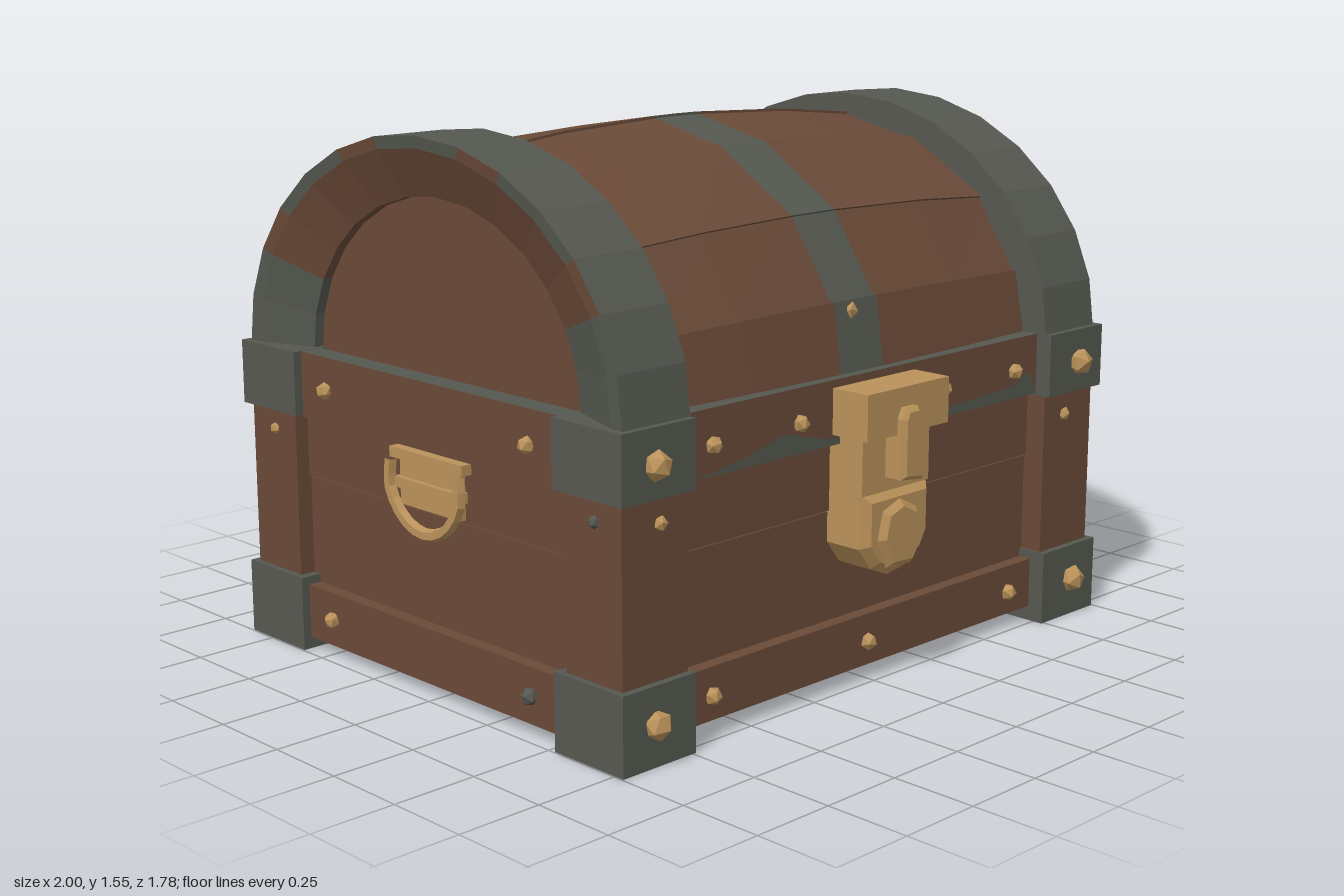
import * as THREE from 'three';

const mat = (name, color) => {
  const m = new THREE.MeshStandardMaterial({ color, flatShading: true });
  m.name = name;
  return m;
};

export function createModel() {
  const wood = mat('wood', 0x6a4a38);
  const iron = mat('iron', 0x555850);
  const brass = mat('brass', 0xba925a);
  const chest = new THREE.Group();
  chest.name = 'treasureChest';
  const CZ = -0.035; // depth centre of the box

  const add = (name, geo, material, parent = chest) => {
    const m = new THREE.Mesh(geo, material);
    m.name = name;
    parent.add(m);
    return m;
  };
  // box given by its limits
  const box = (name, x0, x1, y0, y1, z0, z1, material, parent = chest) => {
    const m = add(name, new THREE.BoxGeometry(x1 - x0, y1 - y0, z1 - z0), material, parent);
    m.position.set((x0 + x1) / 2, (y0 + y1) / 2, (z0 + z1) / 2);
    return m;
  };
  // surface through rows of points; pick(i, j) chooses the material of each quad
  const loft = (name, rows, pick, parent) => {
    const lists = new Map();
    for (let i = 0; i < rows.length - 1; i++) {
      for (let j = 0; j < rows[i].length - 1; j++) {
        const [a, b, c, d] = [rows[i][j], rows[i][j + 1], rows[i + 1][j + 1], rows[i + 1][j]];
        const m = pick(i, j);
        if (!lists.has(m)) lists.set(m, []);
        lists.get(m).push(...a, ...b, ...c, ...a, ...c, ...d);
      }
    }
    for (const [m, list] of lists) {
      const g = new THREE.BufferGeometry();
      g.setAttribute('position', new THREE.Float32BufferAttribute(list, 3));
      g.computeVertexNormals();
      add(name + '_' + m.name, g, m, parent);
    }
  };
  const shapeOf = (pts) => new THREE.Shape(pts.map(([x, y]) => new THREE.Vector2(x, y)));

  // box body, floor planks and wall planks
  box('core', -0.9, 0.9, 0.09, 0.89, -0.74, 0.67, wood);
  for (let i = 0; i < 4; i++) {
    const z = -0.74 + i * 0.3525;
    box('floorPlank', -0.92, 0.92, 0.07 + (i % 2) * 0.008, 0.12, z, z + 0.348, wood);
  }
  [[0.2, 0.515, 0], [0.52, 0.72, 0.006]].forEach(([y0, y1, o]) => {
    box('wallPlankLong', -0.8, 0.8, y0, y1, -0.755 - o, 0.69 + o, wood);
    box('wallPlankSide', -0.93 - o, 0.93 + o, y0, y1, -0.65, 0.6, wood);
  });

  // rails; the upper ones have iron on their top and underside
  const ironEdged = [wood, wood, iron, iron, wood, wood];
  [[0.05, 0.2, wood], [0.715, 0.897, ironEdged]].forEach(([y0, y1, m]) => {
    box('frontRail', -0.9, 0.9, y0, y1, 0.66, 0.73, m);
    box('backRail', -0.9, 0.9, y0, y1, -0.8, -0.73, m);
    for (const s of [-1, 1]) {
      const r = box('sideRail', -0.035, 0.035, y0 - 0.01, y1, -0.78, 0.71, m);
      r.position.x = s * 0.935;
    }
  });
  // worn iron strip on the front and back rails
  const strip = new THREE.ShapeGeometry(shapeOf([[-0.7, 0.716], [0.74, 0.716], [0.7, 0.79],
    [0.62, 0.755], [0.2, 0.735], [-0.18, 0.735], [-0.36, 0.78], [-0.5, 0.745]]));
  add('ironStrip', strip, iron).position.z = 0.732;
  const backPatch = add('ironPatch', new THREE.ShapeGeometry(shapeOf([[-0.1, 0.716], [0.1, 0.716],
    [0.06, 0.85], [-0.05, 0.89]])), iron);
  backPatch.position.z = -0.802;
  backPatch.rotation.y = Math.PI;

  // posts and iron corners
  for (const sx of [-1, 1]) {
    for (const sz of [-1, 1]) {
      const post = box('cornerPost', -0.115, 0.115, 0.2, 0.73, -0.105, 0.105, wood);
      post.position.x = sx * 0.863;
      post.position.z = CZ + sz * 0.69;
      [[0.005, 0.225], [0.71, 0.898]].forEach(([y0, y1]) => {
        const c = box('ironCorner', -0.128, 0.128, y0, y1, -0.13, 0.13, iron);
        c.position.x = sx * 0.868;
        c.position.z = CZ + sz * 0.686;
      });
    }
  }

  // barrel lid of eight planks, each with a slight step to the next
  const lid = new THREE.Group();
  lid.name = 'lid';
  lid.position.z = CZ;
  chest.add(lid);
  const profile = [[0.735, 0.88], [0.695, 1.09], [0.555, 1.315], [0.275, 1.485], [0, 1.545],
    [-0.3, 1.495], [-0.575, 1.32], [-0.7, 1.09], [-0.735, 0.88]];
  const lidRows = [];
  for (let k = 0; k < profile.length - 1; k++) {
    for (const e of [0, 1]) {
      const [z, y] = profile[k + e];
      const lift = 1 + (((k + e) % 2) ? 0.008 : -0.006) * (e ? 1 : -1);
      const w = 0.012 * Math.sin(k * 2.3 + e);
      const xs = [-0.76, -0.45, -0.105 + w, -0.01, 0.07 + w, 0.45, 0.76];
      lidRows.push(xs.map((x) => {
        const f = lift * (1 - 0.075 * (x / 0.76) ** 2);
        return [x, 0.88 + (y - 0.88) * f, z * (1 - 0.035 * (x / 0.76) ** 2) * lift];
      }));
    }
  }
  loft('lidPlanks', lidRows, (i, j) => (j === 2 || j === 3 ? iron : wood), lid);

  // end panels of the lid
  const halfOval = new THREE.Shape();
  halfOval.absellipse(0, 0, 0.6, 0.52, 0, Math.PI, false);
  const ends = add('lidEndPanels', new THREE.ExtrudeGeometry(halfOval,
    { depth: 1.76, bevelEnabled: false, curveSegments: 16 }), wood, lid);
  ends.rotation.y = Math.PI / 2;
  ends.position.set(-0.88, 0.885, 0);

  // iron end bands, worn to wood on the outer side
  const section = [[0.74, 0.6, 0.52], [0.74, 0.798, 0.675], [0.975, 0.798, 0.675],
    [0.97, 0.755, 0.64], [0.91, 0.575, 0.505], [0.86, 0.575, 0.505]];
  for (const s of [0, Math.PI]) {
    const band = new THREE.Group();
    band.name = 'lidBand';
    band.rotation.y = s;
    lid.add(band);
    const rows = [];
    const n = 14;
    for (let i = 0; i <= n; i++) {
      const t = (Math.PI * i) / n;
      rows.push(section.map(([x, a, b]) => [x, 0.885 + b * Math.sin(t), a * Math.cos(t)]));
    }
    loft('lidBand', rows, (i, j) => {
      if (j < 2 || i < 2 || i > n - 3) return iron;
      return j === 2 && i % 3 !== 2 ? iron : wood;
    }, band);
  }

  // studs
  const stud = (x, y, z, r, m = brass) => {
    const s = add('stud', new THREE.IcosahedronGeometry(r, 0), m);
    s.position.set(x, y, z);
    s.rotation.set(x * 5, y * 7, z * 3);
  };
  for (const sx of [-1, 1]) {
    for (const y of [0.12, 0.8]) {
      stud(sx * 0.88, y, 0.785, 0.042);
      stud(sx * 0.88, y, -0.855, 0.042);
      stud(sx * 0.63, y, 0.735, 0.026);
      stud(sx * 0.63, y, -0.805, 0.026);
      stud(sx * 0.975, y, 0.4, 0.026, y < 0.5 ? iron : brass);
      stud(sx * 0.975, y, -0.475, 0.026);
    }
    stud(sx * 0.3, 0.8, 0.735, 0.026);
    stud(sx * 0.3, 0.8, -0.805, 0.026);
    stud(sx * 0.845, 0.64, 0.758, 0.022);
    stud(sx * 0.845, 0.64, -0.828, 0.022);
    stud(sx * 0.975, 0.65, 0.66, 0.02, iron);
    stud(sx * 0.975, 0.65, -0.72, 0.02);
  }
  stud(-0.01, 0.12, 0.735, 0.026);
  stud(0, 0.12, -0.805, 0.026);
  stud(0, 0.8, -0.805, 0.026, iron);
  stud(-0.03, 1.06, 0.655, 0.03);

  // lock: top plate, tongue, hasp and round boss
  const lock = new THREE.Group();
  lock.name = 'lock';
  chest.add(lock);
  box('lockTopPlate', -0.168, 0.172, 0.745, 0.875, 0.68, 0.855, brass, lock);
  box('lockTongue', -0.14, 0.14, 0.58, 0.75, 0.68, 0.815, brass, lock);
  const plate = (name, pts, z, depth, bevel) => {
    const g = new THREE.ExtrudeGeometry(shapeOf(pts), { depth, bevelEnabled: true,
      bevelThickness: bevel, bevelSize: bevel, bevelOffset: -bevel, bevelSegments: 1 });
    add(name, g, brass, lock).position.z = z;
  };
  plate('lockLowerPlate', [[-0.14, 0.585], [-0.14, 0.43], [-0.09, 0.365], [-0.02, 0.335],
    [0.05, 0.345], [0.11, 0.385], [0.14, 0.44], [0.14, 0.585]], 0.68, 0.125, 0.025);
  plate('lockBoss', [[-0.09, 0.45], [-0.05, 0.365], [0.05, 0.36], [0.09, 0.42],
    [0.07, 0.52], [0, 0.555], [-0.07, 0.53]], 0.8, 0.03, 0.018);
  plate('lockHasp', [[-0.045, 0.62], [0.045, 0.61], [0.045, 0.79], [0.02, 0.82],
    [-0.03, 0.82], [-0.045, 0.79]], 0.79, 0.08, 0.012);

  // side handles: backplate, top bar and hanging ring
  for (const s of [-1, 1]) {
    const h = new THREE.Group();
    h.name = 'handle';
    h.position.set(s * 0.935, 0, -0.03);
    chest.add(h);
    box('handlePlate', -0.02, 0.02, 0.53, 0.685, -0.13, 0.13, brass, h);
    box('handleTopBar', -0.035, 0.035, 0.662, 0.692, -0.157, 0.157, brass, h);
    box('handleRod', -0.035, 0.035, 0.58, 0.61, -0.14, 0.14, brass, h);
    const path = new THREE.CatmullRomCurve3([[0.66, 0.145], [0.58, 0.15], [0.5, 0.09], [0.47, 0],
      [0.5, -0.09], [0.58, -0.15], [0.66, -0.145]].map(([y, z]) => new THREE.Vector3(s * 0.038, y, z)));
    add('handleRing', new THREE.TubeGeometry(path, 14, 0.018, 5), brass, h);
  }
  return chest;
}
